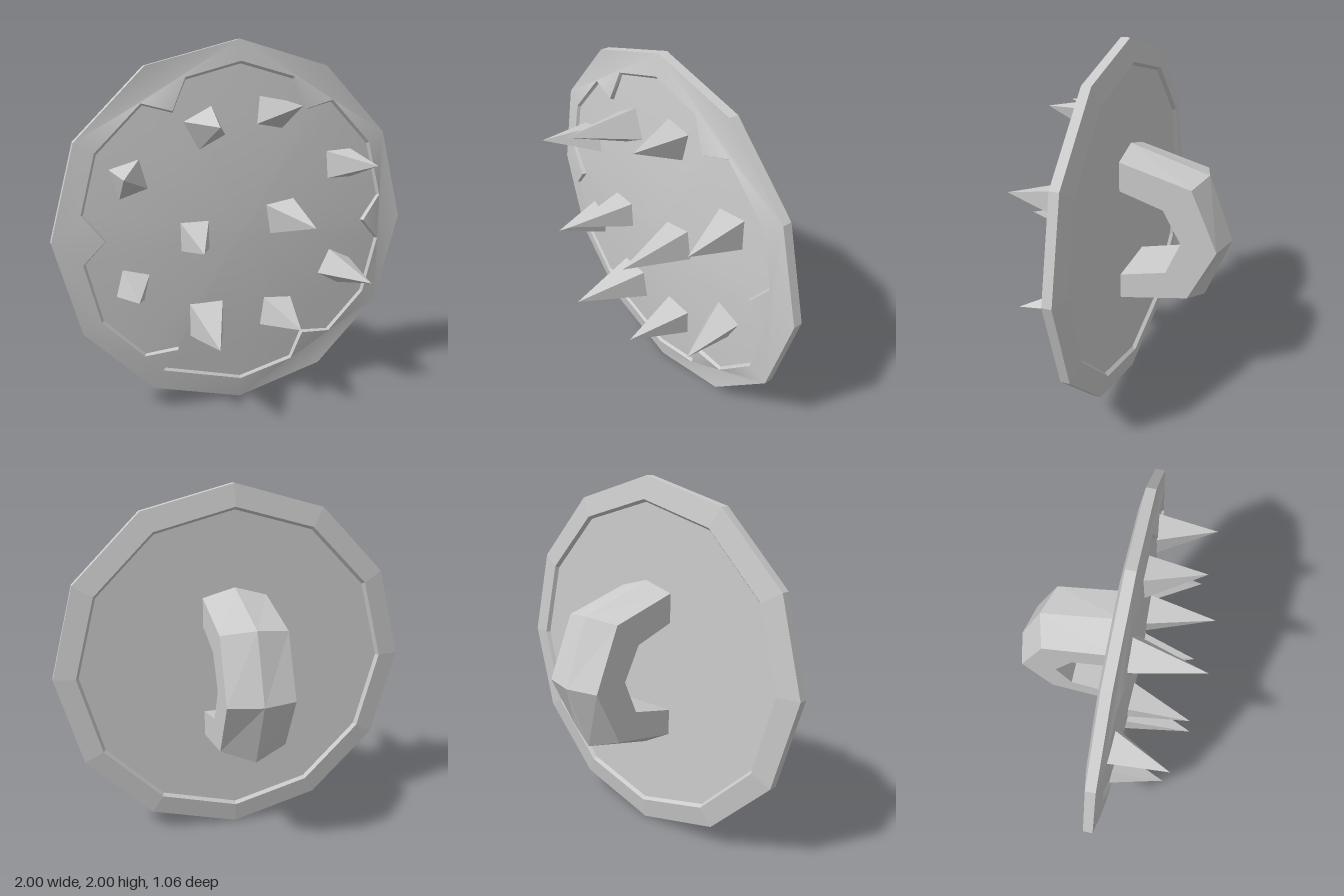
import * as THREE from 'three';

const V2 = (x, y) => new THREE.Vector2(x, y);
const rimZ = r => 0.1 + 0.17 * (1 - r);
const panelZ = r => 0.16 - 0.07 * r * r;

// Joins equal-length loops of points into a surface
function skin(loops, flat) {
  const n = loops[0].length, idx = [];
  for (let j = 0; j < loops.length - 1; j++)
    for (let i = 0; i < n; i++) {
      const a = j * n + i, b = j * n + (i + 1) % n;
      idx.push(a, b, a + n, b, b + n, a + n);
    }
  let g = new THREE.BufferGeometry().setFromPoints(loops.flat());
  g.setIndex(idx);
  if (flat) g = g.toNonIndexed();
  g.computeVertexNormals();
  return g;
}

export function createModel() {
  const model = new THREE.Group();
  const smooth = new THREE.MeshStandardMaterial({ color: 0xcccccc, side: THREE.DoubleSide });
  const flat = new THREE.MeshStandardMaterial({ color: 0xcccccc, flatShading: true, side: THREE.DoubleSide });
  const add = (name, geo, mat, parent = model) => {
    const m = new THREE.Mesh(geo, mat);
    m.name = name;
    parent.add(m);
    return m;
  };

  const shield = new THREE.Group();
  shield.name = 'shield';
  shield.position.y = 1;
  model.add(shield);

  // Twelve-sided edge, bevelled back rim and recessed back panel
  const back = new THREE.LatheGeometry(
    [V2(0, 0.05), V2(0.865, 0.05), V2(0.88, 0.03), V2(1, 0.05), V2(1, 0.1)], 12);
  back.rotateX(Math.PI / 2);
  add('edgeAndBack', back, flat, shield);

  // Notched outline of the front recess, counter-clockwise from the top
  const right = [[0.3, 0.81], [0.375, 0.645], [0.53, 0.685], [0.77, 0.445], [0.85, 0.14], [0.74, 0],
    [0.85, -0.12], [0.77, -0.44], [0.55, -0.66], [0.37, -0.64], [0.31, -0.8]];
  const left = right.map(([x, y]) => V2(-x, y));
  left[10].set(-0.45, -0.76);
  const outline = [V2(0, 0.89), ...left, V2(0, -0.88), ...right.map(p => V2(...p)).reverse()];

  // Front rim: ring rising gently towards the recess
  const ring = new THREE.Shape(Array.from({ length: 12 }, (_, i) =>
    V2(Math.cos(i * Math.PI / 6), Math.sin(i * Math.PI / 6))));
  ring.holes.push(new THREE.Path(outline));
  const rim = new THREE.ShapeGeometry(ring);
  const p = rim.attributes.position;
  for (let i = 0; i < p.count; i++) p.setZ(i, rimZ(Math.hypot(p.getX(i), p.getY(i))));
  rim.computeVertexNormals();
  add('frontRim', rim, smooth, shield);

  // Recess wall and domed front panel
  const loop = (s, z) => outline.map(v => new THREE.Vector3(v.x * s, v.y * s, z(v.length() * s)));
  add('recessWall', skin([loop(1, rimZ), loop(0.985, panelZ)], true), flat, shield);
  add('frontPanel', skin([0.985, 0.7, 0.4, 0.15, 0].map(s => loop(s, panelZ))), smooth, shield);

  // Spikes: base centre x, y, half diagonal, turn in degrees, tip x, y, z
  const spikes = [
    [-0.2, 1.55, 0.127, 27, -0.24, 1.59, 0.5],
    [0.16, 1.62, 0.115, -10, 0.215, 1.675, 0.415],
    [-0.595, 1.305, 0.122, 17, -0.68, 1.355, 0.415],
    [0.57, 1.33, 0.119, 2, 0.64, 1.36, 0.44],
    [-0.26, 0.995, 0.125, 1, -0.32, 0.99, 0.49],
    [0.22, 1.065, 0.132, 9, 0.25, 1.08, 0.53],
    [-0.595, 0.75, 0.113, -13, -0.625, 0.75, 0.41],
    [0.555, 0.745, 0.122, -27, 0.635, 0.72, 0.435],
    [-0.2, 0.525, 0.145, 1, -0.255, 0.5, 0.53],
    [0.2, 0.515, 0.13, -6, 0.205, 0.525, 0.48],
  ];
  const spikeGroup = new THREE.Group();
  spikeGroup.name = 'spikes';
  model.add(spikeGroup);
  for (const [x, y, r, deg, tx, ty, tz] of spikes) {
    const base = [], tip = [];
    for (let i = 0; i < 4; i++) {
      const a = THREE.MathUtils.degToRad(deg + 45 + 90 * i);
      base.push(new THREE.Vector3(x + r * Math.cos(a), y + r * Math.sin(a), 0.1));
      tip.push(new THREE.Vector3(tx, ty, tz));
    }
    add('spike', skin([base, tip], true), flat, spikeGroup);
  }

  // Handle: arch with a ridged outer side; stations give [y, z] of ridge, outer corner, inner corner
  const stations = [
    [[1.45, 0.05], [1.4, 0.05], [1.24, 0.05]],
    [[1.32, -0.39], [1.295, -0.34], [1.165, -0.19]],
    [[0.965, -0.53], [0.965, -0.485], [0.985, -0.29]],
    [[0.605, -0.39], [0.665, -0.335], [0.8, -0.21]],
    [[0.495, 0.05], [0.595, 0.05], [0.74, 0.05]],
  ];
  const w = 0.18;
  const sections = stations.map(([o, c, n]) =>
    [[0, o], [w, c], [w, n], [-w, n], [-w, c]].map(([x, q]) => new THREE.Vector3(x, q[0], q[1])));
  add('handle', skin(sections.reverse(), true), flat);

  return model;
}
